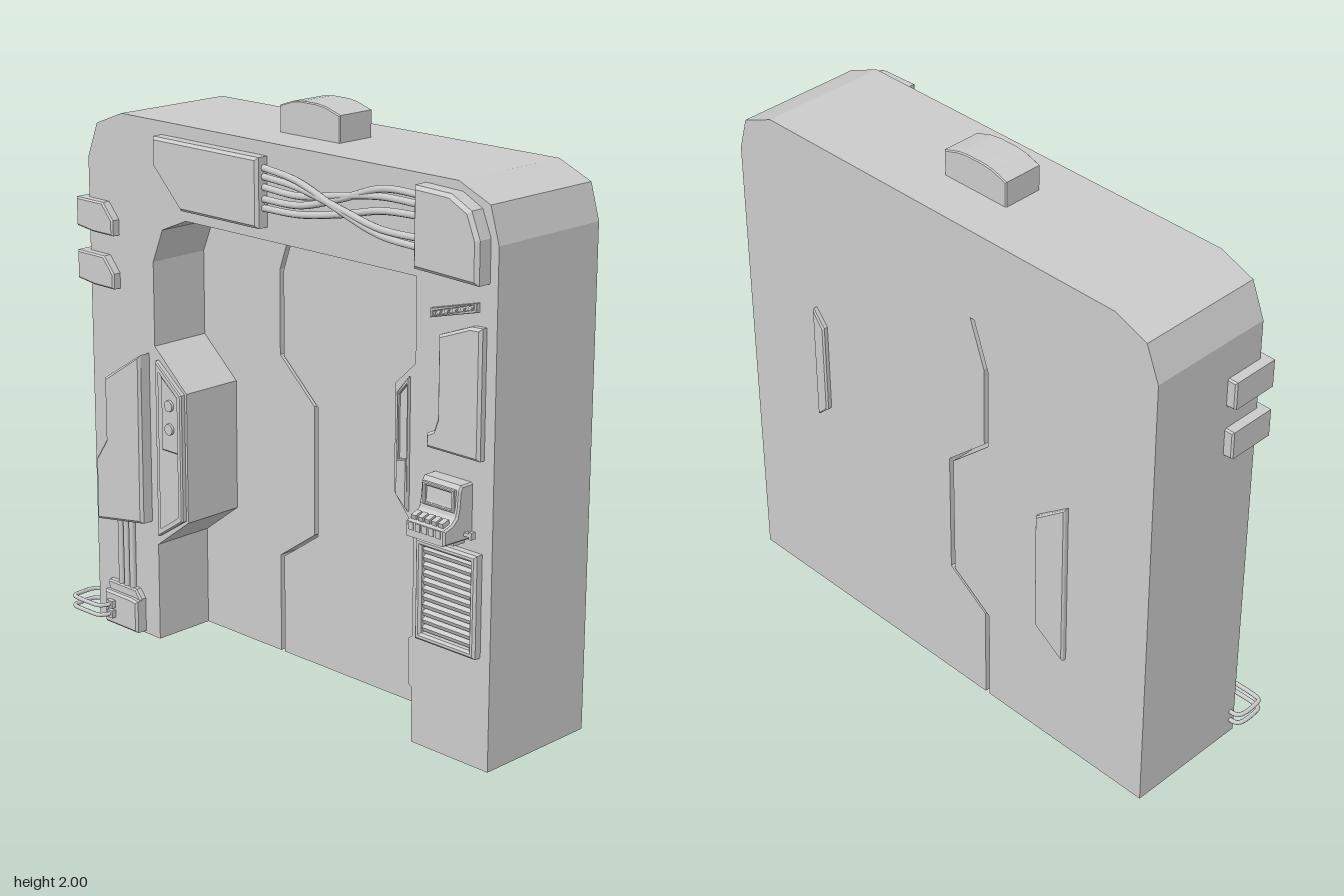
import * as THREE from 'three';

const mat = new THREE.MeshStandardMaterial({ color: 0xcccccc });
const toShape = (pts) => new THREE.Shape(pts.map(([x, y]) => new THREE.Vector2(x, y)));
const rect = (x0, y0, x1, y1) => [[x0, y0], [x1, y0], [x1, y1], [x0, y1]];

export function createModel() {
  const model = new THREE.Group();

  function add(name, geometry, x = 0, y = 0, z = 0) {
    const mesh = new THREE.Mesh(geometry, mat);
    mesh.name = name;
    mesh.position.set(x, y, z);
    model.add(mesh);
    return mesh;
  }

  // Flat outline extruded from z0 to z1, with an optional bevelled rim and hole
  function plate(name, pts, z0, z1, bevel = 0, hole = null) {
    const shape = toShape(pts);
    if (hole) shape.holes.push(toShape(hole));
    const geometry = new THREE.ExtrudeGeometry(shape, {
      depth: z1 - z0 - bevel * 2, bevelEnabled: bevel > 0, bevelThickness: bevel,
      bevelSize: bevel, bevelOffset: -bevel, bevelSegments: 1, curveSegments: 6,
    });
    return add(name, geometry, 0, 0, z0 + bevel);
  }

  function box(name, w, h, d, x, y, z) {
    return add(name, new THREE.BoxGeometry(w, h, d), x, y, z);
  }

  function cable(name, pts, radius, segments = 32, tension = 0.5) {
    const curve = new THREE.CatmullRomCurve3(pts.map((p) => new THREE.Vector3(...p)), false, 'catmullrom', tension);
    return add(name, new THREE.TubeGeometry(curve, segments, radius, 8));
  }

  const front = 0.18, back = -0.29, doorFront = -0.055;

  // Door frame with the stepped inner opening
  const openLeft = [[-0.59, 0], [-0.59, 0.36], [-0.43, 0.48], [-0.43, 0.95],
    [-0.59, 1.09], [-0.59, 1.39], [-0.54, 1.51], [-0.42, 1.56]];
  const openRight = [[0.635, 1.56], [0.635, 1.28], [0.55, 1.2], [0.55, 0.84], [0.635, 0.74],
    [0.635, 0.37], [0.62, 0.36], [0.62, 0.2], [0.635, 0.19], [0.635, 0]];
  plate('doorFrame', [[-0.92, 0], ...openLeft, ...openRight, [0.965, 0], [0.965, 1.71],
    [0.93, 1.83], [0.8, 1.885], [-0.74, 1.885], [-0.87, 1.835], [-0.92, 1.71]], back, front);

  // Two door leaves with a zigzag seam between them
  const seam = [[-0.14, 1.56], [-0.2, 1.39], [-0.2, 1.09], [-0.035, 0.94],
    [-0.035, 0.475], [-0.2, 0.36], [-0.2, 0]];
  const gap = (s) => seam.map(([x, y]) => [x + s * 0.009, y]);
  plate('leftLeaf', [...openLeft, ...gap(-1)], back, doorFront);
  plate('rightLeaf', [...gap(1).reverse(), ...openRight], back, doorFront);

  // Cap on the top
  plate('topCap', [[-0.12, 1.88], [0.155, 1.88], [0.155, 1.975], [0.09, 1.995], [0.05, 2],
    [-0.02, 2], [-0.06, 1.995], [-0.12, 1.975]], -0.12, 0.03, 0.004);

  // Upper junction boxes and the cable bundle between them
  plate('upperLeftBox', [[-0.535, 1.84], [-0.025, 1.84], [-0.025, 1.605], [-0.4, 1.605],
    [-0.535, 1.74]], 0.17, 0.228, 0.01);
  plate('upperRightBox', [[0.67, 1.86], [0.82, 1.855], [0.9, 1.815], [0.935, 1.73],
    [0.935, 1.59], [0.67, 1.6]], 0.17, 0.243, 0.012);
  const bundle = [
    [1.805, 1.785, 1.725, 1.67, 1.655], [1.775, 1.765, 1.73, 1.69, 1.685],
    [1.74, 1.735, 1.765, 1.79, 1.79], [1.70, 1.705, 1.755, 1.815, 1.82],
    [1.67, 1.675, 1.705, 1.745, 1.755],
  ];
  bundle.forEach((ys, i) => cable('bundleCable' + (i + 1),
    ys.map((y, k) => [-0.04 + k * 0.18, y, 0.194 + (i < 2 ? 0.014 : 0) * Math.sin(k * Math.PI / 4)]), 0.012));

  // Hinge brackets wrapping the side edge
  for (const y of [1.455, 1.265]) {
    plate('sideBracket', [[-0.955, y + 0.01], [-0.87, y], [-0.765, y], [-0.765, y + 0.055],
      [-0.815, y + 0.112], [-0.955, y + 0.112]], 0.03, 0.213, 0.006);
  }

  // Left cover panel
  plate('leftCover', [[-0.62, 1.06], [-0.81, 0.94], [-0.81, 0.71], [-0.865, 0.63],
    [-0.865, 0.4], [-0.62, 0.44]], 0.17, 0.23, 0.01);

  // Conduits down to the lower junction box
  for (const x of [-0.78, -0.75, -0.72]) {
    add('conduit', new THREE.CylinderGeometry(0.012, 0.012, 0.28, 8), x, 0.29, 0.19);
  }
  plate('lowerBox', [[-0.84, 0.01], [-0.665, 0.01], [-0.665, 0.13], [-0.7, 0.135],
    [-0.84, 0.135]], 0.17, 0.225, 0.008);
  plate('lowerBoxBack', [[-0.84, 0.12], [-0.665, 0.12], [-0.665, 0.135], [-0.69, 0.167],
    [-0.84, 0.167]], 0.17, 0.205, 0.006);

  // Looped leads from the lower box around the frame edge
  for (const y of [0.055, 0.092]) {
    cable('loopedLead', [[-0.795, y, 0.215], [-0.797, y, 0.25], [-0.815, y, 0.276], [-0.86, y, 0.28],
      [-0.92, y, 0.28], [-0.95, y, 0.273], [-0.958, y, 0.24], [-0.958, y, 0.19],
      [-0.945, y, 0.165], [-0.91, y, 0.16]], 0.008, 40);
    box('leadSocket', 0.03, 0.028, 0.02, -0.795, y, 0.232);
  }

  // Control console: rim, inner plate and round buttons
  const consoleRim = [[-0.57, 1.045], [-0.44, 0.945], [-0.44, 0.485], [-0.57, 0.4]];
  const consoleHole = [[-0.556, 1.015], [-0.454, 0.937], [-0.454, 0.495], [-0.556, 0.428]];
  plate('consoleRim', consoleRim, 0.17, 0.2, 0.005, consoleHole);
  plate('consolePlate', [[-0.55, 0.995], [-0.46, 0.928], [-0.46, 0.725], [-0.55, 0.725]], 0.17, 0.191, 0.004);
  for (const y of [0.895, 0.81]) {
    add('consoleButton', new THREE.CylinderGeometry(0.02, 0.022, 0.03, 16).rotateX(Math.PI / 2), -0.505, y, 0.185);
  }

  // Narrow latch panel on the right jamb
  const latch = [[0.615, 1.235], [0.565, 1.175], [0.565, 0.835], [0.615, 0.79]];
  plate('latchRim', latch, 0.17, 0.19, 0.003, [[0.608, 1.21], [0.572, 1.168], [0.572, 0.842], [0.608, 0.81]]);
  plate('latchCover', [[0.568, 0.955], [0.612, 0.965], [0.612, 0.8], [0.568, 0.838]], 0.17, 0.196, 0.003);

  // Matching raised panels on the rear face
  plate('rearConsolePanel', consoleRim, -0.31, -0.28, 0.006);
  plate('rearLatchPanel', latch, -0.31, -0.28, 0.006);

  // Slanted slot with small ribs
  const slant = (x0, x1, m) => [[x0, 1.445 + m], [x1, 1.495 + m], [x1, 1.525 - m], [x0, 1.475 - m]];
  plate('slotRim', slant(0.705, 0.895, 0), 0.17, 0.195, 0.002, slant(0.716, 0.884, 0.008));
  for (let i = 0; i < 5; i++) {
    box('slotRib', 0.012, 0.016, 0.02, 0.735 + i * 0.032, 1.468 + i * 0.0085, 0.18).rotation.z = -0.5;
  }

  // Right cover panel
  plate('rightCover', [[0.705, 1.03], [0.925, 1.03], [0.925, 1.452], [0.88, 1.45], [0.75, 1.4],
    [0.75, 1.13], [0.735, 1.09], [0.705, 1.075]], 0.17, 0.208, 0.009);

  // Keypad terminal: side profile swept across its width
  const profile = [[0.17, 0.765], [0.308, 0.77], [0.308, 0.82], [0.27, 0.832], [0.25, 0.85],
    [0.243, 0.88], [0.238, 0.935], [0.228, 0.95], [0.17, 0.95]];
  const terminal = new THREE.ExtrudeGeometry(toShape(profile), {
    depth: 0.15, bevelEnabled: true, bevelSize: 0.006, bevelOffset: -0.006, bevelThickness: 0.006, bevelSegments: 1,
  }).rotateY(-Math.PI / 2);
  add('terminalBody', terminal, 0.874, 0, 0);
  plate('terminalScreenRim', rect(0.732, 0.862, 0.866, 0.936), 0.235, 0.25, 0.003, rect(0.745, 0.872, 0.853, 0.926));
  for (let i = 0; i < 5; i++) {
    box('terminalKey', 0.02, 0.016, 0.03, 0.743 + i * 0.028, 0.836, 0.283).rotation.x = 0.3;
    box('terminalTooth', 0.02, 0.025, 0.01, 0.743 + i * 0.028, 0.806, 0.306);
  }
  box('terminalFoot', 0.1, 0.03, 0.06, 0.8, 0.76, 0.2);
  box('terminalLever', 0.04, 0.012, 0.015, 0.89, 0.79, 0.21);
  box('terminalLeverKnob', 0.012, 0.024, 0.02, 0.907, 0.79, 0.21);

  // Louvred vent
  plate('ventRim', rect(0.67, 0.38, 0.925, 0.725), 0.17, 0.212, 0.008, rect(0.695, 0.405, 0.9, 0.7));
  for (let i = 0; i < 11; i++) {
    box('ventSlat', 0.21, 0.016, 0.02, 0.7975, 0.42 + i * 0.0265, 0.188).rotation.x = 0.45;
  }

  return model;
}
